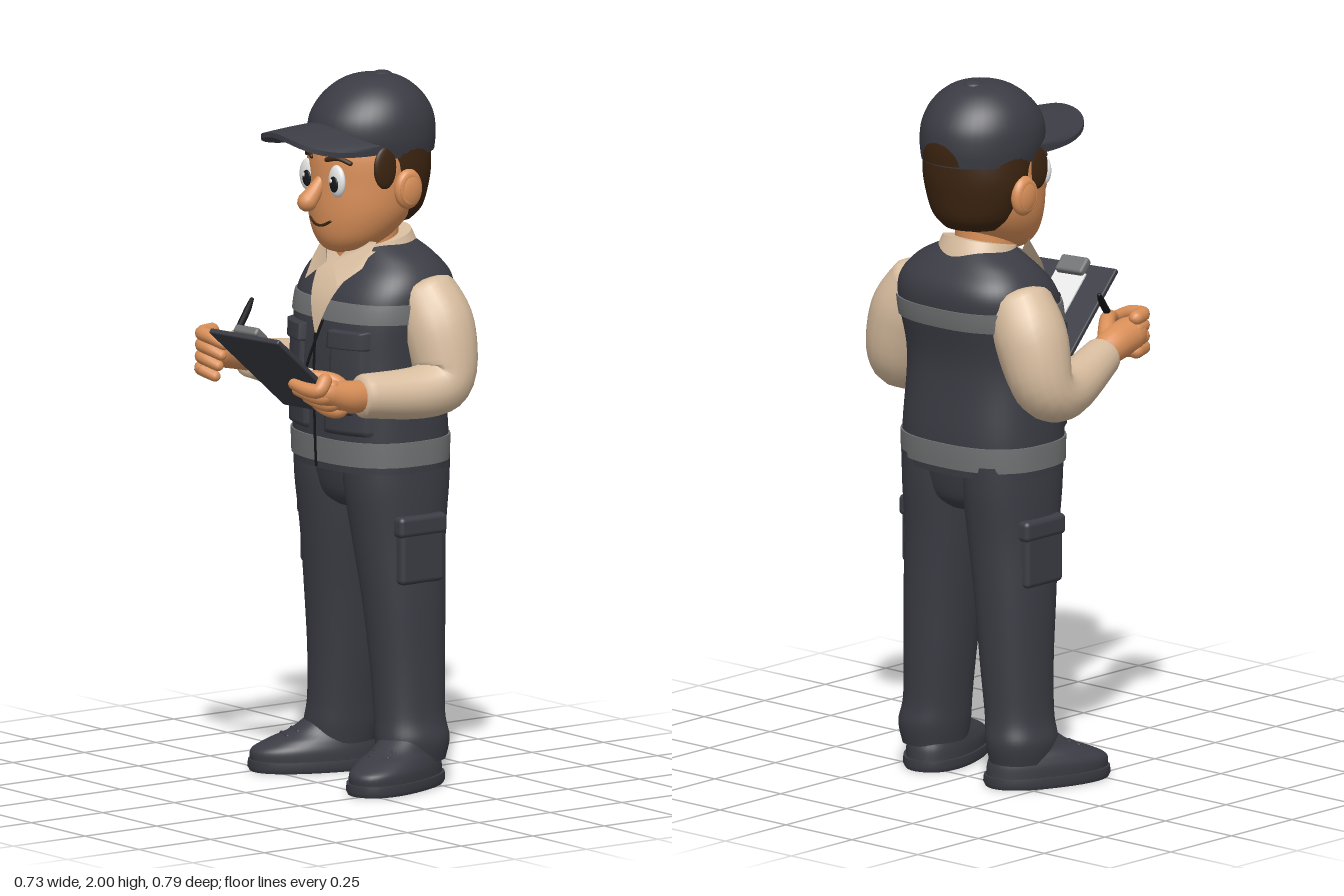
import * as THREE from 'three';
import { RoundedBoxGeometry } from 'three/addons/geometries/RoundedBoxGeometry.js';

const paint = (name, color, side = THREE.FrontSide) => {
  const m = new THREE.MeshStandardMaterial({ color, side });
  m.name = name;
  return m;
};

// Catmull-Rom refinement of rows of numbers
function smooth(rows, k = 6) {
  const out = [], at = i => rows[Math.max(0, Math.min(rows.length - 1, i))];
  for (let i = 0; i < rows.length - 1; i++) for (let s = 0; s < k; s++) {
    const t = s / k, [a, b, c, d] = [at(i - 1), at(i), at(i + 1), at(i + 2)];
    out.push(b.map((v, j) => v + 0.5 * t * (c[j] - a[j] + t * (2 * a[j] - 5 * v + 4 * c[j] - d[j] + t * (3 * (v - c[j]) + d[j] - a[j])))));
  }
  out.push(rows[rows.length - 1]);
  return out;
}

// closed surface through rings of points, with flat end caps
function skinRings(rings) {
  const pos = [], idx = [], n = rings[0].length;
  rings.forEach(r => r.forEach(p => pos.push(...p)));
  for (let i = 0; i < rings.length - 1; i++) for (let j = 0; j < n; j++) {
    const a = i * n + j, b = i * n + (j + 1) % n;
    idx.push(a, b, b + n, a, b + n, a + n);
  }
  [rings[0], rings[rings.length - 1]].forEach((r, e) => {
    const base = pos.length / 3;
    r.forEach(p => pos.push(...p));
    pos.push(...[0, 1, 2].map(k => r.reduce((s, p) => s + p[k], 0) / n));
    for (let j = 0; j < n; j++) {
      const q = (j + 1) % n;
      idx.push(base + n, base + (e ? j : q), base + (e ? q : j));
    }
  });
  return build(pos, idx);
}
function build(pos, idx) {
  const g = new THREE.BufferGeometry();
  g.setAttribute('position', new THREE.Float32BufferAttribute(pos, 3));
  g.setIndex(idx);
  g.computeVertexNormals();
  return g;
}

// upright body from rows [x, y, z, rx, rz]; p squares off the outline
function loft(rows, p = 2, n = 40) {
  const f = v => Math.sign(v) * Math.abs(v) ** (2 / p);
  return skinRings(rows.map(([x, y, z, rx, rz]) => Array.from({ length: n }, (_, j) => {
    const a = j / n * Math.PI * 2;
    return [x + rx * f(Math.sin(a)), y, z + rz * f(Math.cos(a))];
  })));
}

// round limb through points [x, y, z, radius]; cap sets how far the ends bulge
function limb(points, cap = 1, ref = [1, 0, 0], n = 18) {
  const d = smooth(points), V = q => new THREE.Vector3(q[0], q[1], q[2]), rings = [], last = d.length - 1;
  d.forEach((q, i) => {
    const T = V(d[Math.min(i + 1, last)]).sub(V(d[Math.max(i - 1, 0)])).normalize();
    const N = new THREE.Vector3(...ref).addScaledVector(T, -T.dot(new THREE.Vector3(...ref))).normalize();
    const B = T.clone().cross(N);
    const ring = (shift, r) => rings.push(Array.from({ length: n }, (_, j) => {
      const a = j / n * Math.PI * 2;
      return V(q).addScaledVector(T, shift).addScaledVector(N, r * Math.cos(a)).addScaledVector(B, r * Math.sin(a)).toArray();
    }));
    const ends = [1.45, 1.1, 0.75, 0.4];
    if (i === 0) ends.forEach(e => ring(-q[3] * cap * Math.sin(e), q[3] * Math.cos(e)));
    ring(0, q[3]);
    if (i === last) ends.reverse().forEach(e => ring(q[3] * cap * Math.sin(e), q[3] * Math.cos(e)));
  });
  return skinRings(rings);
}

const rowAt = (rows, y) => {
  let i = 0;
  while (i < rows.length - 2 && rows[i + 1][1] < y) i++;
  const a = rows[i], b = rows[i + 1], t = (y - a[1]) / (b[1] - a[1]);
  return a.map((v, j) => v + (b[j] - v) * t);
};
const surfaceZ = (rows, x, y, p, side = 1) => {
  const [cx, , cz, rx, rz] = rowAt(rows, y);
  return cz + side * rz * Math.max(0, 1 - Math.abs((x - cx) / rx) ** p) ** (1 / p);
};

// thin piece laid on a body's front (side 1) or back (-1), its edges tucked down
function patch(rows, p, y0, y1, span, off, side = 1, tuck = true) {
  const pos = [], idx = [], n = 14;
  for (let i = 0; i <= n; i++) for (let j = 0; j <= n; j++) {
    const y = y0 + (y1 - y0) * i / n, [l, r] = span(y), x = l + (r - l) * j / n;
    const edge = tuck && (i % n === 0 || j % n === 0);
    pos.push(x, y, surfaceZ(rows, x, y, p, side) + side * (edge ? -0.003 : off));
    if (i < n && j < n) {
      const a = i * (n + 1) + j, b = a + 1, c = a + n + 1, e = c + 1;
      idx.push(...(side > 0 ? [a, b, e, a, e, c] : [a, e, b, a, c, e]));
    }
  }
  return build(pos, idx);
}

export function createModel() {
  const model = new THREE.Group();
  const cloth = paint('darkCloth', 0x3b3c44), shirt = paint('beigeShirt', 0xd8bd9f, THREE.DoubleSide);
  const skin = paint('skin', 0xd98f58), hair = paint('brownHair', 0x3c2410), grey = paint('greyBand', 0x707172);
  const white = paint('white', 0xe6e6e6), black = paint('black', 0x17171b);
  const add = (name, geo, mat, pos = [0, 0, 0], scale = [1, 1, 1], parent = model) => {
    const m = new THREE.Mesh(geo, mat);
    m.name = name;
    m.position.set(...pos);
    m.scale.set(...scale);
    parent.add(m);
    return m;
  };
  const ball = new THREE.SphereGeometry(1, 28, 20);

  // vest with reflective bands
  const P = 2.5;
  const torso = smooth([[0, .895, -.185, .232, .18], [0, 1, -.185, .232, .185], [0, 1.2, -.177, .224, .18], [0, 1.35, -.198, .235, .187],
    [0, 1.43, -.215, .225, .168], [0, 1.49, -.22, .175, .12], [0, 1.53, -.215, .1, .085]]);
  add('vest', loft(torso, P, 56), cloth);
  [['lowerBand', .915, .985], ['upperBand', 1.32, 1.375]].forEach(([name, a, b]) => {
    const rows = Array.from({ length: 6 }, (_, i) => rowAt(torso, a + (b - a) * i / 5));
    add(name, loft(rows.map(r => [r[0], r[1], r[2], r[3] + .005, r[4] + .005]), P, 56), grey);
  });
  add('shirtFront', patch(torso, P, 1.27, 1.51, y => [-(y - 1.27) * .42, (y - 1.27) * .42], .008, 1, false), shirt);
  add('zip', patch(torso, P, .9, 1.28, () => [-.006, .006], .009, 1, false), black);
  for (const s of [-1, 1]) {
    const span = (a, b) => () => s > 0 ? [a, b] : [-b, -a];
    add('chestPocket', patch(torso, P, 1.14, 1.29, span(.06, .175), .01), cloth);
    add('chestPocketFlap', patch(torso, P, 1.245, 1.3, span(.055, .18), .02), cloth);
    add('lowerPocket', patch(torso, P, 1.0, 1.13, span(.035, .19), .012), cloth);
    // collar flap
    const pts = [[.115, 1.54, -.12], [.115, 1.47, -.07], [.075, 1.42, -.012], [.015, 1.475, -.045], [.075, 1.545, -.08]];
    add('collarFlap', build(pts.flatMap(([x, y, z]) => [s * x, y, z]), s > 0 ? [0, 2, 1, 0, 3, 2, 0, 4, 3] : [0, 1, 2, 0, 2, 3, 0, 3, 4]), shirt);
  }
  const collar = add('collar', loft(smooth([[0, -.06, 0, .135, .115], [0, 0, 0, .12, .108], [0, .04, 0, .108, .1]])), shirt, [0, 1.5, -.21]);
  collar.rotation.x = .22;
  add('neck', new THREE.CylinderGeometry(.085, .09, .14, 32), skin, [0, 1.52, -.175]);
  add('lanyard', limb([[.03, 1.32, .004, .004], [0, 1.24, .016, .004], [-.03, 1.17, .02, .004]]), black);
  add('badge', new RoundedBoxGeometry(.08, .11, .009, 2, .004), white, [-.03, 1.125, .024]);

  // trousers, pockets and shoes
  add('hips', loft(smooth([[0, .78, -.19, .1, .1], [0, .82, -.19, .18, .14], [0, .93, -.19, .222, .165]])), cloth);
  const leg = smooth([[.165, .07, -.205, .08, .098], [.165, .13, -.207, .09, .108], [.155, .2, -.205, .086, .103], [.145, .34, -.205, .092, .108],
    [.135, .52, -.2, .101, .12], [.121, .7, -.193, .109, .138], [.115, .84, -.19, .113, .158], [.113, .93, -.19, .11, .165]]);
  const shoe = smooth([[0, .03, 0, .092, .183], [0, .06, 0, .092, .18], [0, .085, -.02, .085, .152], [0, .11, -.05, .075, .118], [0, .15, -.075, .068, .085]]);
  for (const s of [-1, 1]) {
    add('trouserLeg', loft(leg.map(r => [s * r[0], ...r.slice(1)]), 2.2), cloth);
    add('cargoPocket', new RoundedBoxGeometry(.04, .17, .15, 3, .015), cloth, [s * .222, .665, -.19]);
    add('cargoFlap', new RoundedBoxGeometry(.05, .06, .165, 3, .015), cloth, [s * .222, .745, -.19]);
    const foot = new THREE.Group();
    foot.name = 'shoe';
    foot.position.set(s * .19, 0, -.13);
    foot.rotation.y = s * .35;
    model.add(foot);
    add('sole', loft([[0, 0, 0, .094, .184], [0, .012, 0, .1, .19], [0, .032, 0, .098, .188]], 2.3), cloth, [0, 0, 0], [1, 1, 1], foot);
    add('upper', loft(shoe, 2.2), cloth, [0, 0, 0], [1, 1, 1], foot);
    for (let i = 0; i < 3; i++)
      add('lace', limb([[-.03, .098 + i * .012, .085 - i * .03, .006], [.03, .098 + i * .012, .085 - i * .03, .006]], 1, [0, 1, 0], 8), cloth, [0, 0, 0], [1, 1, 1], foot);
  }

  // sleeves
  add('leftSleeve', limb([[.18, 1.39, -.235, .095], [.235, 1.3, -.245, .104], [.275, 1.17, -.235, .088], [.275, 1.135, -.15, .075], [.25, 1.14, .03, .062]], .35), shirt);
  add('rightSleeve', limb([[-.18, 1.39, -.235, .095], [-.235, 1.3, -.245, .104], [-.275, 1.17, -.235, .088], [-.272, 1.135, -.14, .075], [-.21, 1.185, .075, .056]], .35), shirt);

  // right hand holding the pen
  add('rightPalm', limb([[-.21, 1.185, .07, .04], [-.205, 1.21, .13, .05], [-.2, 1.225, .2, .05]]), skin);
  for (let i = 0; i < 4; i++) {
    const y = 1.275 - i * .032, reach = i * .014;
    add('rightFinger', limb([[-.225, y, .2, .021], [-.205, y, .248, .021], [-.155 - reach, y - .005, .252, .02], [-.115 - reach, y - .02, .24, .016]], 1, [0, 1, 0], 12), skin);
  }
  add('rightThumb', limb([[-.185, 1.23, .12, .025], [-.145, 1.265, .17, .022], [-.115, 1.255, .225, .017]], 1, [1, 0, 0], 12), skin);
  add('pen', limb([[-.188, 1.355, .088, .006], [-.17, 1.325, .12, .01], [-.13, 1.265, .193, .009], [-.113, 1.235, .222, .003]], 1, [1, 0, 0], 12), black);

  // clipboard, its underside facing forward, with the left hand around its edge
  const board = new THREE.Group();
  board.name = 'clipboard';
  const u = new THREE.Vector3(.985, 0, -.17).normalize(), w = new THREE.Vector3(.165, .63, .76);
  const under = u.clone().cross(w).normalize();
  board.quaternion.setFromRotationMatrix(new THREE.Matrix4().makeBasis(u, under.clone().cross(u), under));
  board.position.set(.125, 1.21, .219);
  model.add(board);
  const onBoard = (name, geo, mat, pos) => add(name, geo, mat, pos, [1, 1, 1], board);
  onBoard('board', new RoundedBoxGeometry(.265, .395, .016, 2, .005), cloth, [0, 0, 0]);
  onBoard('paper', new THREE.BoxGeometry(.1, .15, .006), white, [0, .085, -.01]);
  onBoard('paperMark', new THREE.CylinderGeometry(.02, .02, .004, 20).rotateX(Math.PI / 2), black, [.008, .065, -.013]);
  onBoard('clip', new RoundedBoxGeometry(.09, .055, .026, 2, .008), grey, [0, .178, -.018]);
  for (let i = 0; i < 4; i++) {
    const y = -.125 + i * .036, tip = .045 + Math.abs(i - 2) * .012;
    onBoard('leftFinger', limb([[.15, y, -.005, .021], [.148, y, .028, .021], [.11, y + .006, .034, .02], [tip, y + .01, .026, .016]], 1, [0, 1, 0], 12), skin);
  }
  onBoard('leftThumb', limb([[.15, -.13, -.02, .026], [.125, -.08, -.035, .024], [.075, -.045, -.026, .018]], 1, [0, 0, 1], 12), skin);
  add('leftPalm', limb([[.25, 1.14, .02, .044], [.256, 1.145, .09, .046], [.257, 1.165, .16, .036]]), skin);

  // head
  const head = smooth([[0, 1.502, -.1, .03, .035], [0, 1.515, -.105, .07, .07], [0, 1.555, -.125, .113, .113], [0, 1.62, -.15, .145, .148],
    [0, 1.7, -.165, .156, .163], [0, 1.8, -.172, .154, .165], [0, 1.87, -.18, .12, .13]]);
  add('head', loft(head), skin);
  add('hair', loft(smooth([[0, 1.585, -.22, .09, .085], [0, 1.62, -.22, .125, .112], [0, 1.68, -.217, .15, .128], [0, 1.74, -.21, .163, .142], [0, 1.82, -.2, .162, .15]])), hair);
  add('nose', limb([[0, 1.72, -.018, .014], [0, 1.68, .012, .023], [0, 1.655, .036, .028]]), skin);
  const line = (name, pts, r) => add(name, limb(pts.map(([x, y]) => [x, y, surfaceZ(head, x, y, 2) + .001, r]), 1, [0, 1, 0], 10), hair);
  line('mouth', [[-.045, 1.6], [-.022, 1.588], [0, 1.584], [.022, 1.588], [.045, 1.6]], .004);
  for (const s of [-1, 1]) {
    add('ear', ball, skin, [s * .162, 1.69, -.195], [.026, .057, .045]);
    add('earHollow', new THREE.TorusGeometry(.7, .2, 8, 20).rotateY(Math.PI / 2), skin, [s * .178, 1.692, -.193], [.02, .052, .042]);
    add('sideburn', ball, hair, [s * .15, 1.755, -.125], [.012, .06, .04]);
    add('eye', ball, white, [s * .067, 1.717, -.018], [.034, .046, .016]);
    add('pupil', ball, black, [s * .063 + .008, 1.71, -.004], [.018, .023, .006]);
    add('glint', ball, white, [s * .063 + .001, 1.719, .001], [.005, .006, .003]);
    line('eyebrow', [[s * .1, 1.77], [s * .07, 1.782], [s * .035, 1.775]], .007);
  }

  // cap with brim, button and rear opening
  const cap = smooth([[0, 1.78, -.195, .16, .176], [0, 1.83, -.189, .167, .186], [0, 1.885, -.189, .162, .178], [0, 1.935, -.192, .138, .145],
    [0, 1.972, -.195, .098, .1], [0, 1.99, -.197, .055, .055], [0, 1.994, -.2, .01, .01]]);
  add('cap', loft(cap), cloth);
  add('capButton', ball, cloth, [0, 1.988, -.225], [.03, .012, .03]);
  add('capOpening', patch(cap, 2, 1.785, 1.848, y => {
    const h = .068 * Math.sqrt(Math.max(0, 1 - ((y - 1.785) / .063) ** 2));
    return [-h, h];
  }, .005, -1, false), hair);
  const brim = new THREE.BoxGeometry(2, 1, 1, 40, 1, 12), bp = brim.attributes.position;
  for (let i = 0; i < bp.count; i++) {
    const a = bp.getX(i), v = bp.getZ(i) + .5, c = Math.sin(a * Math.PI / 2);
    const front = -.12 + .27 * Math.max(0, 1 - Math.abs(c) ** 3) ** (1 / 3);
    bp.setXYZ(i, .15 * c, 1.868 - .055 * c * c + .014 * bp.getY(i) - .012 * v * v, -.12 + (front + .12) * v);
  }
  brim.computeVertexNormals();
  add('capBrim', brim, cloth);
  return model;
}
